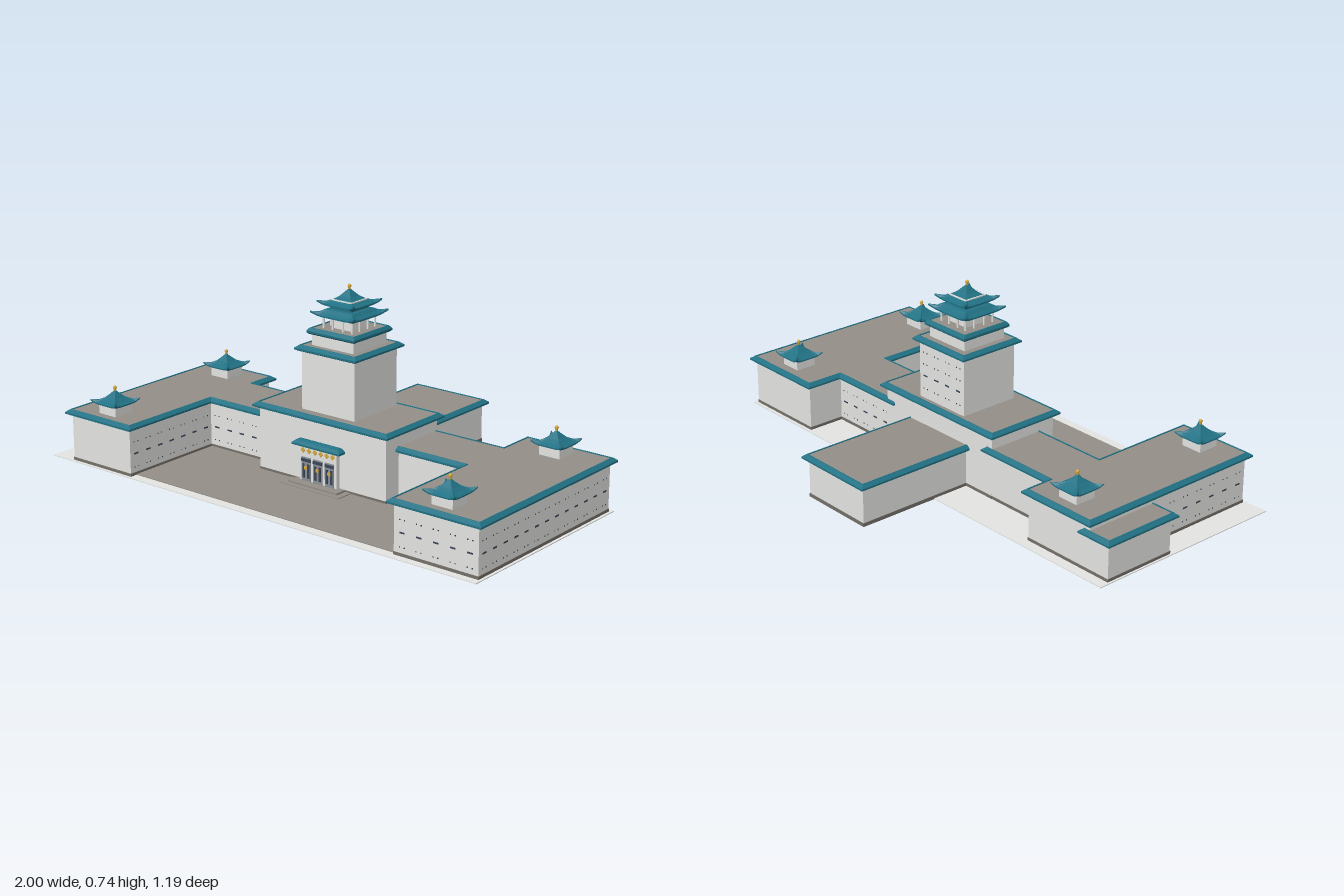
import * as THREE from 'three';
import { mergeGeometries } from 'three/addons/utils/BufferGeometryUtils.js';

const mat = (name, color) => {
  const m = new THREE.MeshStandardMaterial({ color });
  m.name = name;
  return m;
};
const M = {
  wall: mat('paleStone', 0xe4e4e2),
  roof: mat('taupePaving', 0x949088),
  plinth: mat('darkStone', 0x757069),
  tile: mat('tealTile', 0x217184),
  window: mat('windowBlue', 0x3b4557),
  door: mat('doorGrey', 0x8b9098),
  gold: mat('gold', 0xd6a93a),
};

function add(parent, name, geometry, material, x = 0, y = 0, z = 0) {
  const mesh = new THREE.Mesh(geometry, material);
  mesh.name = name;
  mesh.position.set(x, y, z);
  parent.add(mesh);
  return mesh;
}

// box given by its limits
function block(parent, name, x0, x1, y0, y1, z0, z1, material) {
  return add(parent, name, new THREE.BoxGeometry(x1 - x0, y1 - y0, z1 - z0), material,
    (x0 + x1) / 2, (y0 + y1) / 2, (z0 + z1) / 2);
}

// faceted skin over closed rings of [x, y, z], bottom ring first
function loft(rings) {
  const pos = [];
  for (let i = 0; i < rings.length - 1; i++) {
    const lo = rings[i], hi = rings[i + 1], n = lo.length;
    for (let j = 0; j < n; j++) {
      const k = (j + 1) % n;
      pos.push(...lo[j], ...lo[k], ...hi[k], ...lo[j], ...hi[k], ...hi[j]);
    }
  }
  const g = new THREE.BufferGeometry();
  g.setAttribute('position', new THREE.Float32BufferAttribute(pos, 3));
  g.computeVertexNormals();
  return g;
}

// mitred offset of a right-angled footprint of [x, z]
function offset(plan, d) {
  const n = plan.length;
  const normal = (a, b) => [-Math.sign(b[1] - a[1]), Math.sign(b[0] - a[0])];
  return plan.map((p, i) => {
    const u = normal(plan[(i + n - 1) % n], p), v = normal(p, plan[(i + 1) % n]);
    return [p[0] + d * (u[0] + v[0]), p[1] + d * (u[1] + v[1])];
  });
}
const ring = (plan, d, y) => offset(plan, d).map(([x, z]) => [x, y, z]);
const rect = (x0, x1, z0, z1) => [[x0, z1], [x1, z1], [x1, z0], [x0, z0]];
const square = (cx, cz, h) => rect(cx - h, cx + h, cz - h, cz + h);

// flat face filling a footprint, facing up or down
function slab(plan, d, up) {
  const sign = up ? -1 : 1;
  const shape = new THREE.Shape(offset(plan, d).map(([x, z]) => new THREE.Vector2(x, sign * z)));
  return new THREE.ShapeGeometry(shape).rotateX(sign * Math.PI / 2);
}

// walls, plinth, tiled cornice and flat roof on one footprint
function building(parent, name, plan, y0, top, plinth = true, out = 0.02) {
  const g = new THREE.Group();
  g.name = name;
  parent.add(g);
  add(g, 'walls', loft([ring(plan, 0, y0), ring(plan, 0, top - 0.02)]), M.wall);
  if (plinth) {
    add(g, 'plinth', loft([ring(plan, 0.002, 0), ring(plan, 0.002, 0.014), ring(plan, 0, 0.014)]), M.plinth);
    add(g, 'floor', slab(plan, 0.002, false), M.wall, 0, 0.0005, 0);
  }
  const profile = [[-0.002, -0.026], [0.008, -0.024], [out, -0.018], [out, -0.011],
    [0.008, -0.002], [0.006, 0], [0.002, 0], [0.001, -0.005]];
  add(g, 'cornice', loft(profile.map(([d, y]) => ring(plan, d, top + y))), M.tile);
  add(g, 'flatRoof', slab(plan, 0.002, true), M.roof, 0, top - 0.003, 0);
  return g;
}

// concave hipped roof with upturned pointed corners; steps are [half width, y, corner lift]
function sweptRoof(parent, name, steps) {
  const n = 10;
  const rings = steps.map(([h, y, lift]) => {
    const pts = [];
    for (let side = 0; side < 4; side++) {
      const c = Math.round(Math.cos(side * Math.PI / 2)), s = Math.round(Math.sin(side * Math.PI / 2));
      for (let i = 0; i < n; i++) {
        const t = -1 + 2 * i / n, w = Math.abs(t) ** 7;
        const r = h * (1 + lift * 10 * w), a = t * r;
        pts.push([a * c + r * s, y + lift * w, r * c - a * s]);
      }
    }
    return pts;
  });
  return add(parent, name, loft(rings), M.tile);
}

// gold bulb on a stem
function finial(parent, y, h) {
  const pts = [[0.004, 0], [0.004, 0.25], [0.006, 0.35], [0.004, 0.45], [0.008, 0.7], [0.005, 0.9], [0, 1]]
    .map(([r, t]) => new THREE.Vector2(r, t * h));
  add(parent, 'finial', new THREE.LatheGeometry(pts, 10), M.gold, 0, y, 0);
}

// rows of small window plates between two wall corners, left to right as seen from outside
function windows(parent, name, [ax, az], [bx, bz], base = 0, rows = [0.035, 0.087, 0.133, 0.18]) {
  const len = Math.hypot(bx - ax, bz - az), angle = Math.atan2(-(bz - az), bx - ax);
  const count = Math.max(2, Math.round((len - 0.03) / 0.06)), parts = [];
  const plate = (u, y, w, h) => parts.push(new THREE.BoxGeometry(w, h, 0.002).translate(u, base + y, 0));
  for (let i = 0; i < count; i++) {
    const u = (i + 0.5) * len / count;
    rows.forEach((y, r) => {
      if (r === 1) plate(u, y, 0.022, 0.006);
      else for (const s of [-0.01, 0.01]) plate(u + s, y, 0.004, 0.0045);
    });
  }
  add(parent, name, mergeGeometries(parts), M.window, ax, 0, az).rotation.y = angle;
}

function cornerPavilion(parent, x, z) {
  const g = new THREE.Group();
  g.name = 'cornerPavilion';
  g.position.set(x, 0.2, z);
  parent.add(g);
  block(g, 'pavilionWalls', -0.043, 0.043, 0, 0.042, -0.043, 0.043, M.wall);
  sweptRoof(g, 'pavilionRoof', [[0.04, 0.034, 0], [0.058, 0.04, 0.012], [0.058, 0.045, 0.013],
    [0.042, 0.053, 0.003], [0.026, 0.064, 0], [0.012, 0.078, 0], [0.003, 0.088, 0]]);
  finial(g, 0.081, 0.027);
}

function tower(parent) {
  const cx = 0.027, cz = 0.046;
  building(parent, 'towerShaft', square(cx, cz, 0.123), 0.25, 0.512, false);
  building(parent, 'towerUpperTier', square(cx, cz, 0.096), 0.5, 0.575, false, 0.015);
  windows(parent, 'towerBackWindows', [cx + 0.123, cz - 0.123], [cx - 0.123, cz - 0.123], 0.27);

  const g = new THREE.Group();
  g.name = 'towerPavilion';
  g.position.set(cx, 0, cz);
  parent.add(g);
  block(g, 'pavilionCore', -0.045, 0.045, 0.57, 0.63, -0.045, 0.045, M.wall);
  // colonnade
  const posts = [];
  for (const a of [-0.066, -0.024, 0.024, 0.066]) {
    for (const b of [-0.066, 0.066]) {
      posts.push([a, b]);
      if (Math.abs(a) < 0.05) posts.push([b, a]);
    }
  }
  for (const [x, z] of posts) {
    add(g, 'column', new THREE.CylinderGeometry(0.004, 0.004, 0.055, 8), M.wall, x, 0.597, z);
  }
  sweptRoof(g, 'lowerPavilionRoof', [[0.04, 0.61, 0], [0.07, 0.612, 0], [0.089, 0.618, 0.013], [0.089, 0.624, 0.014],
    [0.075, 0.632, 0.003], [0.063, 0.643, 0], [0.04, 0.645, 0]]);
  block(g, 'upperPavilionWalls', -0.048, 0.048, 0.64, 0.664, -0.048, 0.048, M.tile);
  sweptRoof(g, 'upperPavilionRoof', [[0.04, 0.651, 0], [0.06, 0.654, 0], [0.075, 0.659, 0.012], [0.075, 0.665, 0.013],
    [0.058, 0.671, 0.003], [0.043, 0.679, 0], [0.026, 0.69, 0], [0.011, 0.707, 0], [0.003, 0.716, 0]]);
  add(g, 'roofBand', loft([[0.049, 0.673], [0.049, 0.68], [0.044, 0.68], [0.041, 0.679]]
    .map(([h, y]) => ring(square(0, 0, h), 0, y))), M.wall);
  finial(g, 0.708, 0.027);
}

function entrance(parent) {
  const g = new THREE.Group();
  g.name = 'entrance';
  g.position.set(0.025, 0, 0.21);
  parent.add(g);
  block(g, 'lowerStep', -0.14, 0.14, 0.001, 0.009, 0, 0.07, M.roof);
  block(g, 'upperStep', -0.115, 0.115, 0.001, 0.016, 0, 0.05, M.roof);
  block(g, 'porch', -0.086, 0.086, 0.014, 0.155, -0.01, 0.015, M.wall);
  for (const x of [-0.055, 0, 0.055]) {
    block(g, 'door', x - 0.021, x + 0.021, 0.016, 0.108, 0.014, 0.018, M.door);
    block(g, 'transom', x - 0.021, x + 0.021, 0.091, 0.103, 0.016, 0.02, M.window);
    for (const s of [-0.011, 0.011]) {
      block(g, 'doorPane', x + s - 0.005, x + s + 0.005, 0.028, 0.083, 0.016, 0.0195, M.window);
    }
    block(g, 'doorHandle', x - 0.007, x + 0.007, 0.062, 0.074, 0.018, 0.021, M.gold);
  }
  // row of plain studs above the doors
  for (let i = 0; i < 6; i++) {
    add(g, 'goldStud', new THREE.BoxGeometry(0.015, 0.015, 0.004), M.gold, -0.07 + i * 0.028, 0.134, 0.016)
      .rotation.z = Math.PI / 4;
  }
  const plan = rect(-0.1, 0.1, -0.01, 0.02);
  add(g, 'canopy', loft([[-0.008, 0.146], [0.012, 0.152], [0.012, 0.159], [0.002, 0.168], [-0.012, 0.172], [-0.0149, 0.172]]
    .map(([d, y]) => ring(plan, d, y))), M.tile);
}

export function createModel() {
  const model = new THREE.Group();
  model.name = 'courtyardBuilding';

  // ground
  block(model, 'groundPlate', -0.99, 0.99, 0, 0.003, -0.25, 0.585, M.wall);
  block(model, 'courtyard', -0.585, 0.635, 0.001, 0.006, 0.1, 0.545, M.roof);

  // main blocks
  building(model, 'mainHall', rect(-0.27, 0.324, -0.094, 0.207), 0, 0.27);
  building(model, 'rearHall', rect(-0.128, 0.184, -0.576, -0.08), 0, 0.172);
  building(model, 'leftAnnex', rect(-0.98, -0.87, -0.207, 0.093), 0, 0.164);
  building(model, 'leftWing', [[-0.888, 0.572], [-0.588, 0.572], [-0.588, 0.133], [-0.25, 0.133],
    [-0.25, -0.093], [-0.588, -0.093], [-0.588, -0.207], [-0.888, -0.207]], 0, 0.205);
  building(model, 'rightWing', [[0.3, 0.133], [0.63, 0.133], [0.63, 0.555], [0.977, 0.555],
    [0.977, -0.234], [0.63, -0.234], [0.63, -0.083], [0.3, -0.083]], 0, 0.205);

  // windows
  windows(model, 'rightWingSideWindows', [0.977, 0.555], [0.977, -0.234]);
  windows(model, 'rightWingFrontWindows', [0.63, 0.555], [0.977, 0.555]);
  windows(model, 'rightLinkBackWindows', [0.63, -0.083], [0.324, -0.083]);
  windows(model, 'leftLinkFrontWindows', [-0.588, 0.133], [-0.27, 0.133]);
  windows(model, 'leftWingCourtWindows', [-0.588, 0.572], [-0.588, 0.133]);
  windows(model, 'leftWingOuterWindows', [-0.888, 0.093], [-0.888, 0.572]);

  for (const [x, z] of [[-0.738, -0.123], [-0.738, 0.493], [0.802, -0.154], [0.802, 0.477]]) {
    cornerPavilion(model, x, z);
  }
  tower(model);
  entrance(model);
  return model;
}
